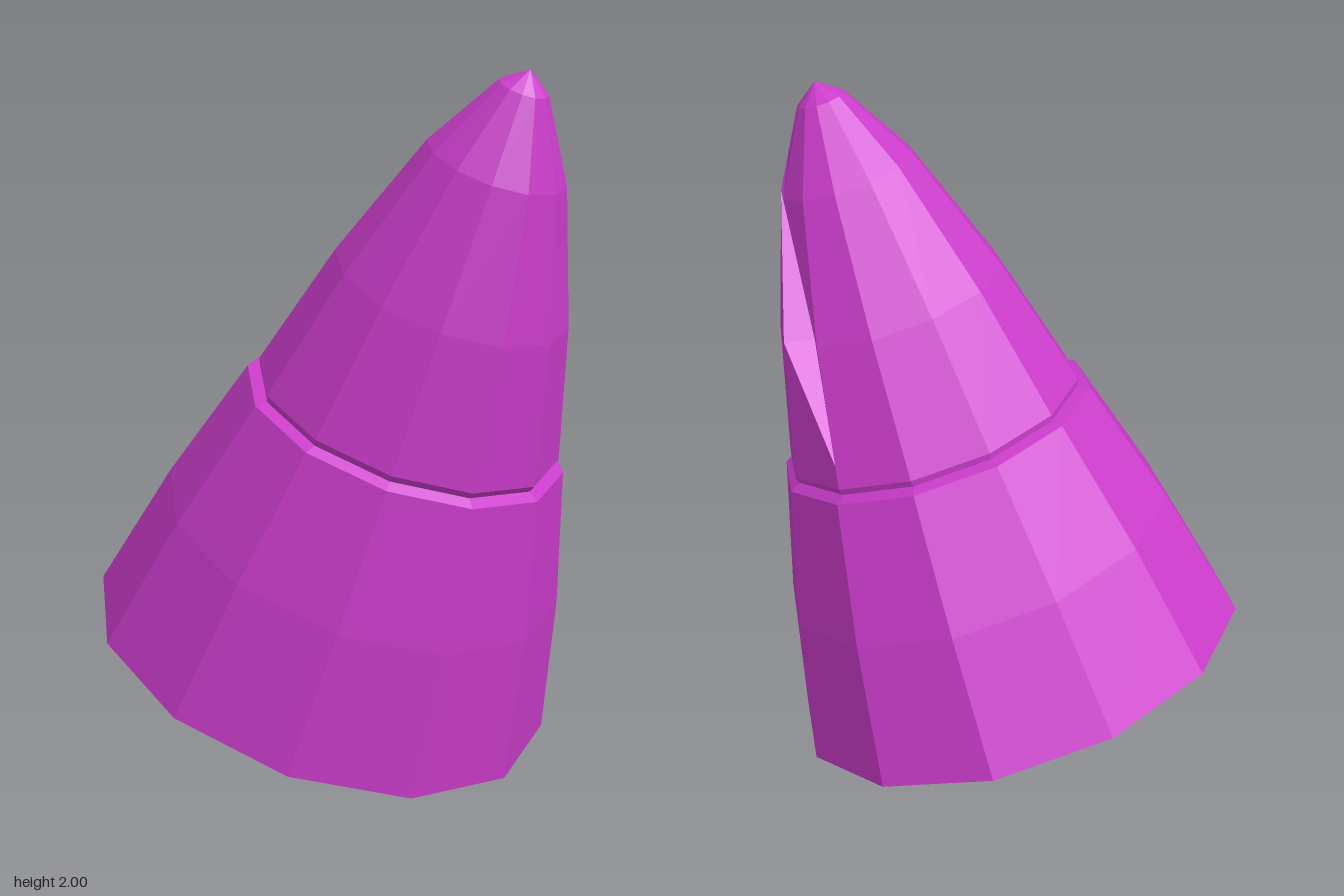
import * as THREE from 'three';

const SIDES = 12;
const material = new THREE.MeshStandardMaterial({
  color: 0xcc3dcc, flatShading: true, side: THREE.DoubleSide,
});

// Point on the cone: k-th side corner, radius r, height t along the axis
const corner = (k, [r, t]) => {
  const a = (k / SIDES) * Math.PI * 2;
  return [r * Math.sin(a), t, r * Math.cos(a)];
};

// Mesh from convex polygons, each fanned into triangles
function polyMesh(name, polygons) {
  const pos = [];
  for (const p of polygons)
    for (let i = 1; i < p.length - 1; i++) pos.push(...p[0], ...p[i], ...p[i + 1]);
  const g = new THREE.BufferGeometry();
  g.setAttribute('position', new THREE.Float32BufferAttribute(pos, 3));
  g.computeVertexNormals();
  const mesh = new THREE.Mesh(g, material);
  mesh.name = name;
  return mesh;
}

// Side panels between successive rings; cut(band, k) may replace a panel
function shell(rings, cut = () => null) {
  const polys = [];
  for (let b = 0; b < rings.length - 1; b++)
    for (let k = 0; k < SIDES; k++) {
      const lo = rings[b], hi = rings[b + 1];
      polys.push(cut(b, k) || [corner(k, lo), corner(k + 1, lo), corner(k + 1, hi), corner(k, hi)]);
    }
  return polys;
}

export function createModel() {
  const group = new THREE.Group();
  group.name = 'notchedCone';

  // Rings as [radius, height along the axis]
  const rim = [0.686, 0], belly = [0.59, 0.41], shoulder = [0.47, 0.804];
  const groove = [0.437, 0.818], lip = [0.445, 0.838];
  const mid = [0.338, 1.224], high = [0.198, 1.606], cap = [0.07, 1.826], apex = [0, 1.878];

  // Notch corners: both ends, the two lips and the crease between them
  const top = corner(1, [0.138, 1.709]), bottom = corner(3, [0.427, 0.902]);
  const front1 = corner(1, high), front2 = corner(2, mid);
  const back1 = corner(2, high), back2 = corner(3, mid);
  const crease1 = [0.09, 1.61, 0.088], crease2 = [0.22, 1.196, 0.123];

  // Panels trimmed where the notch passes through
  const trimmed = {
    '0,2': [corner(2, lip), corner(3, lip), bottom, front2],
    '1,1': [corner(1, mid), front2, front1],
    '1,2': [back2, corner(3, high), back1],
    '2,1': [top, back1, corner(2, cap), corner(1, cap)],
  };

  group.add(
    polyMesh('lowerBody', shell([rim, belly, shoulder])),
    polyMesh('grooveRing', shell([shoulder, groove, lip])),
    polyMesh('upperBody', shell([lip, mid, high, cap], (b, k) => trimmed[`${b},${k}`])),
    polyMesh('tip', shell([cap, apex]).map((p) => p.slice(0, 3))),
    polyMesh('notch', [
      // ledge along the front lip
      [top, front1, crease1],
      [front1, front2, crease2, crease1],
      [front2, bottom, crease2],
      // wall along the back lip
      [top, crease1, back1],
      [crease1, crease2, back2, back1],
      [crease2, bottom, back2],
    ]),
  );

  // Lean the whole cone towards the front
  group.rotation.x = 0.372;
  group.position.set(0, 0.25, -0.06);
  const root = new THREE.Group();
  root.name = 'leaningCone';
  root.add(group);
  return root;
}
